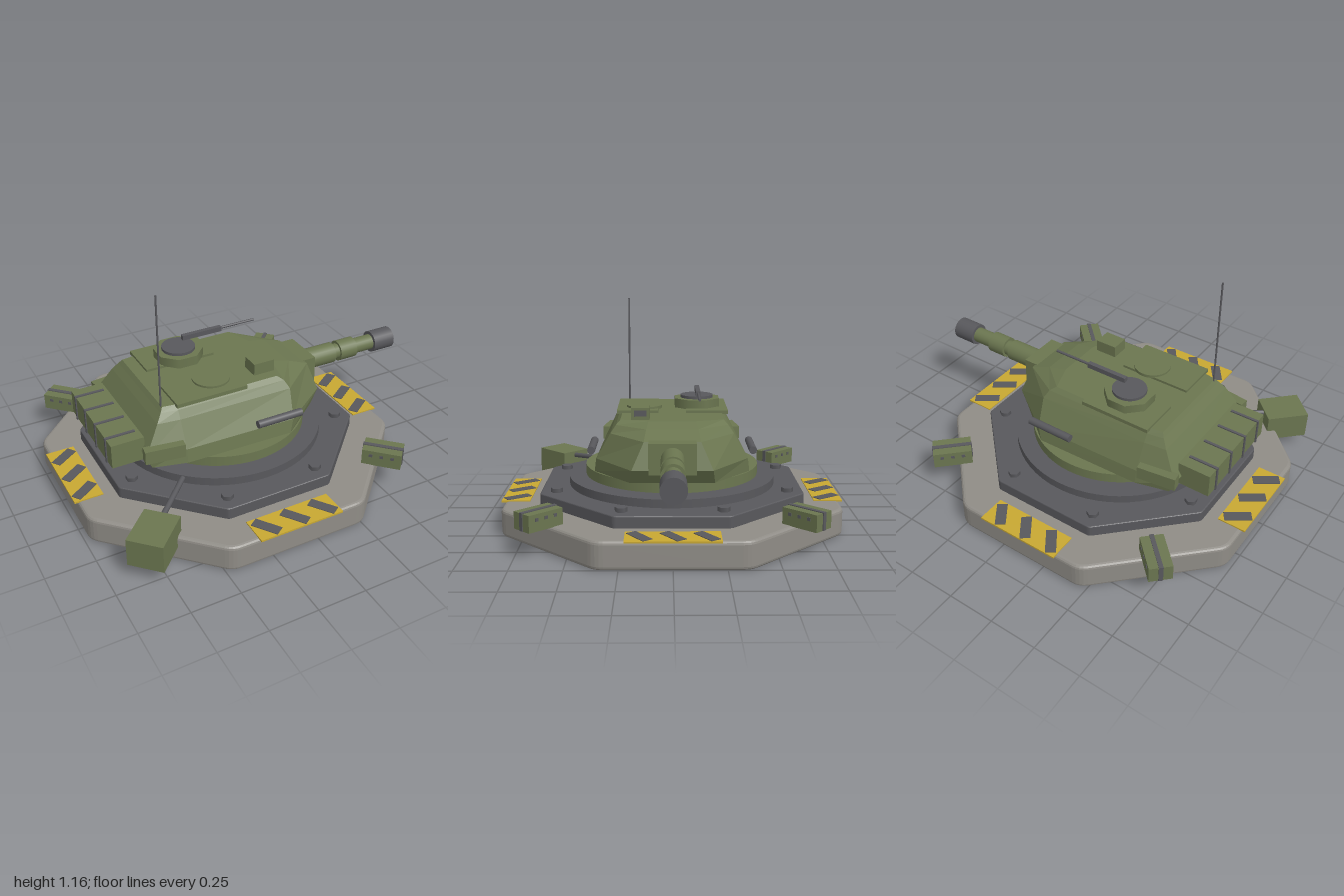
import * as THREE from 'three';

const mat = (name, color, flat = false) => {
  const m = new THREE.MeshStandardMaterial({ color, flatShading: flat });
  m.name = name;
  return m;
};

export function createModel() {
  const green = mat('olive green', 0x6b7650);
  const concrete = mat('concrete grey', 0x8f8c86);
  const dark = mat('gunmetal', 0x58585c);
  const yellow = mat('hazard yellow', 0xc8a832);
  const CX = -0.11; // centre of the pad and turret ring
  const root = new THREE.Group();
  root.name = 'gunTurret';

  const add = (name, geo, m, x = 0, y = 0, z = 0, parent = root) => {
    const mesh = new THREE.Mesh(geo, m);
    mesh.name = name;
    mesh.position.set(x, y, z);
    parent.add(mesh);
    return mesh;
  };
  // box given by its limits
  const box = (name, m, x0, x1, y0, y1, z0, z1, parent = root) =>
    add(name, new THREE.BoxGeometry(x1 - x0, y1 - y0, z1 - z0), m,
      (x0 + x1) / 2, (y0 + y1) / 2, (z0 + z1) / 2, parent);
  // upright cylinder between two heights
  const disc = (name, m, r, y0, y1, x, z, sides = 48, turn = 0) => {
    const geo = new THREE.CylinderGeometry(r, r, y1 - y0, sides).rotateY(turn);
    return add(name, geo, m, x, (y0 + y1) / 2, z);
  };
  // cylinder lying along x
  const rod = (name, m, r, x0, x1, y, z, sides = 24) =>
    add(name, new THREE.CylinderGeometry(r, r, x1 - x0, sides).rotateZ(-Math.PI / 2),
      m, (x0 + x1) / 2, y, z);

  // Octagonal slabs with softened corners and bevelled rims
  const slab = (name, m, apothem, y0, y1, bevel, round) => {
    const R = (apothem - bevel) / Math.cos(Math.PI / 8);
    const corner = (i) => new THREE.Vector2(R, 0).rotateAround(new THREE.Vector2(), (i + 0.5) * Math.PI / 4);
    const shape = new THREE.Shape();
    for (let i = 0; i < 8; i++) {
      const c = corner(i);
      const a = c.clone().lerp(corner(i - 1), round);
      const b = c.clone().lerp(corner(i + 1), round);
      if (i) shape.lineTo(a.x, a.y); else shape.moveTo(a.x, a.y);
      shape.quadraticCurveTo(c.x, c.y, b.x, b.y);
    }
    shape.closePath();
    const geo = new THREE.ExtrudeGeometry(shape, {
      depth: y1 - y0 - 2 * bevel, bevelThickness: bevel, bevelSize: bevel,
      bevelSegments: 3, curveSegments: 4,
    }).rotateX(-Math.PI / 2);
    add(name, geo, m, CX, y0 + bevel, 0);
  };
  slab('concretePad', concrete, 0.868, 0, 0.14, 0.018, 0.05);
  slab('mountingPlate', dark, 0.677, 0.135, 0.2, 0.006, 0.02);
  disc('bearingDisc', dark, 0.55, 0.2, 0.243, CX, 0, 64);
  disc('turretRing', green, 0.46, 0.25, 0.303, CX, 0, 64);
  disc('bearingCore', dark, 0.38, 0.24, 0.26, CX, 0);

  // Hex bolts at the plate corners
  for (let i = 0; i < 8; i++) {
    const a = (i + 0.5) * Math.PI / 4;
    disc('bolt', dark, 0.031, 0.2, 0.222, CX + 0.643 * Math.cos(a), 0.643 * Math.sin(a), 6);
  }

  // Hazard plates on the four straight sides
  for (let i = 0; i < 4; i++) {
    const g = new THREE.Group();
    g.name = 'hazardPlate';
    g.position.x = CX;
    g.rotation.y = i * Math.PI / 2;
    root.add(g);
    box('hazardBoard', yellow, -0.223, 0.223, 0.137, 0.146, 0.738, 0.886, g);
    for (const x of [-0.155, 0, 0.155]) {
      add('hazardStripe', new THREE.BoxGeometry(0.053, 0.005, 0.138), dark, x, 0.1465, 0.812, g)
        .rotation.y = 0.61;
    }
  }

  // Turret hull from stacked outlines: [height, half outline as x,z from back to front]
  const levels = [
    [0.303, [[-0.63, 0.34], [-0.46, 0.385], [0.11, 0.4], [0.35, 0.21]]],
    [0.375, [[-0.66, 0.345], [-0.46, 0.375], [0.13, 0.39], [0.395, 0.2]]],
    [0.51, [[-0.575, 0.295], [-0.46, 0.31], [0.15, 0.315], [0.36, 0.14]]],
    [0.55, [[-0.545, 0.27], [-0.46, 0.285], [0.13, 0.287], [0.25, 0.13]]],
    [0.572, [[-0.53, 0.255], [-0.46, 0.265], [0.1, 0.265], [0.15, 0.12]]],
  ];
  const loops = levels.map(([y, half]) => [
    ...half.map(([x, z]) => [x, y, z]),
    ...half.map(([x, z]) => [x, y, -z]).reverse(),
  ]);
  const pos = [];
  const tri = (a, b, c) => pos.push(...a, ...b, ...c);
  for (let l = 0; l < loops.length - 1; l++) {
    const a = loops[l], b = loops[l + 1];
    for (let i = 0; i < 8; i++) {
      const j = (i + 1) % 8;
      tri(a[i], a[j], b[j]);
      tri(a[i], b[j], b[i]);
    }
  }
  const bottom = loops[0], top = loops[loops.length - 1];
  for (let i = 1; i < 7; i++) {
    tri(top[0], top[i], top[i + 1]);
    tri(bottom[0], bottom[i + 1], bottom[i]);
  }
  const hull = new THREE.BufferGeometry();
  hull.setAttribute('position', new THREE.Float32BufferAttribute(pos, 3));
  hull.computeVertexNormals();
  add('turretHull', hull, green);

  // Gun: mantlet, stepped barrel and muzzle
  box('mantlet', green, 0.28, 0.428, 0.36, 0.515, -0.117, 0.117);
  const GY = 0.44;
  rod('barrelSleeve', green, 0.057, 0.42, 0.61, GY, 0);
  rod('barrel', green, 0.043, 0.6, 0.88, GY, 0);
  rod('boreEvacuator', green, 0.057, 0.645, 0.75, GY, 0);
  rod('muzzle', dark, 0.06, 0.87, 1, GY, 0);

  // Side tubes and rear cheek boxes
  for (const s of [-1, 1]) {
    rod('sideTube', dark, 0.02, -0.09, 0.16, 0.423, s * 0.413, 16);
    add('cheekBox', new THREE.BoxGeometry(0.2, 0.07, 0.05), green, -0.57, 0.385, s * 0.355)
      .rotation.y = s * -0.14;
  }

  // Rear stowage bin with straps
  box('stowageBin', green, -0.81, -0.64, 0.322, 0.448, -0.28, 0.28);
  for (const z of [-0.21, -0.07, 0.07, 0.21]) {
    box('binStrap', dark, -0.816, -0.66, 0.316, 0.454, z - 0.007, z + 0.007);
  }

  // Roof plates, cupola, hatch, sight and aerial
  box('roofPlate', green, -0.467, -0.085, 0.565, 0.585, -0.3, -0.077);
  box('roofPlate', green, -0.467, -0.085, 0.565, 0.585, 0.07, 0.293);
  disc('cupola', green, 0.13, 0.58, 0.63, -0.26, -0.138, 8, Math.PI / 8);
  disc('cupolaHatch', dark, 0.088, 0.63, 0.645, -0.26, -0.138);
  disc('loaderHatch', green, 0.096, 0.58, 0.596, -0.215, 0.148);
  box('sightBox', green, 0, 0.115, 0.56, 0.635, 0.115, 0.21);
  box('sightWindow', dark, 0.113, 0.119, 0.59, 0.622, 0.13, 0.195);
  box('machineGunBody', dark, -0.237, -0.012, 0.672, 0.698, -0.15, -0.126);
  rod('machineGunBarrel', dark, 0.007, -0.015, 0.188, 0.687, -0.138, 10);
  disc('aerial', dark, 0.005, 0.54, 1.157, -0.53, 0.24, 8);

  // Strapped boxes on three diagonal corners, long axis pointing outwards
  const outward = (name, sx, sz, d) => {
    const g = new THREE.Group();
    g.name = name;
    g.position.set(CX + sx * d, 0, sz * d);
    g.rotation.y = Math.atan2(-sz, sx);
    root.add(g);
    return g;
  };
  for (const [sx, sz] of [[1, 1], [1, -1], [-1, -1]]) {
    const g = outward('cornerBox', sx, sz, 0.636);
    box('caseBody', green, -0.1, 0.1, 0.138, 0.223, -0.058, 0.058, g);
    box('caseStrap', dark, -0.104, 0.104, 0.138, 0.227, -0.011, 0.011, g);
    for (const x of [-0.055, 0, 0.055]) {
      box('caseStud', dark, x - 0.009, x + 0.009, 0.188, 0.204, -0.061, 0.061, g);
    }
  }

  // Larger power box on the fourth corner with its cable
  const power = outward('powerBox', -1, 1, 0.657);
  box('powerBoxBody', green, -0.113, 0.113, 0.08, 0.225, -0.09, 0.09, power);
  const cable = new THREE.LineCurve3(new THREE.Vector3(-0.7, 0.2, 0.59), new THREE.Vector3(-0.49, 0.228, 0.385));
  add('powerCable', new THREE.TubeGeometry(cable, 1, 0.014, 10), dark);

  return root;
}
